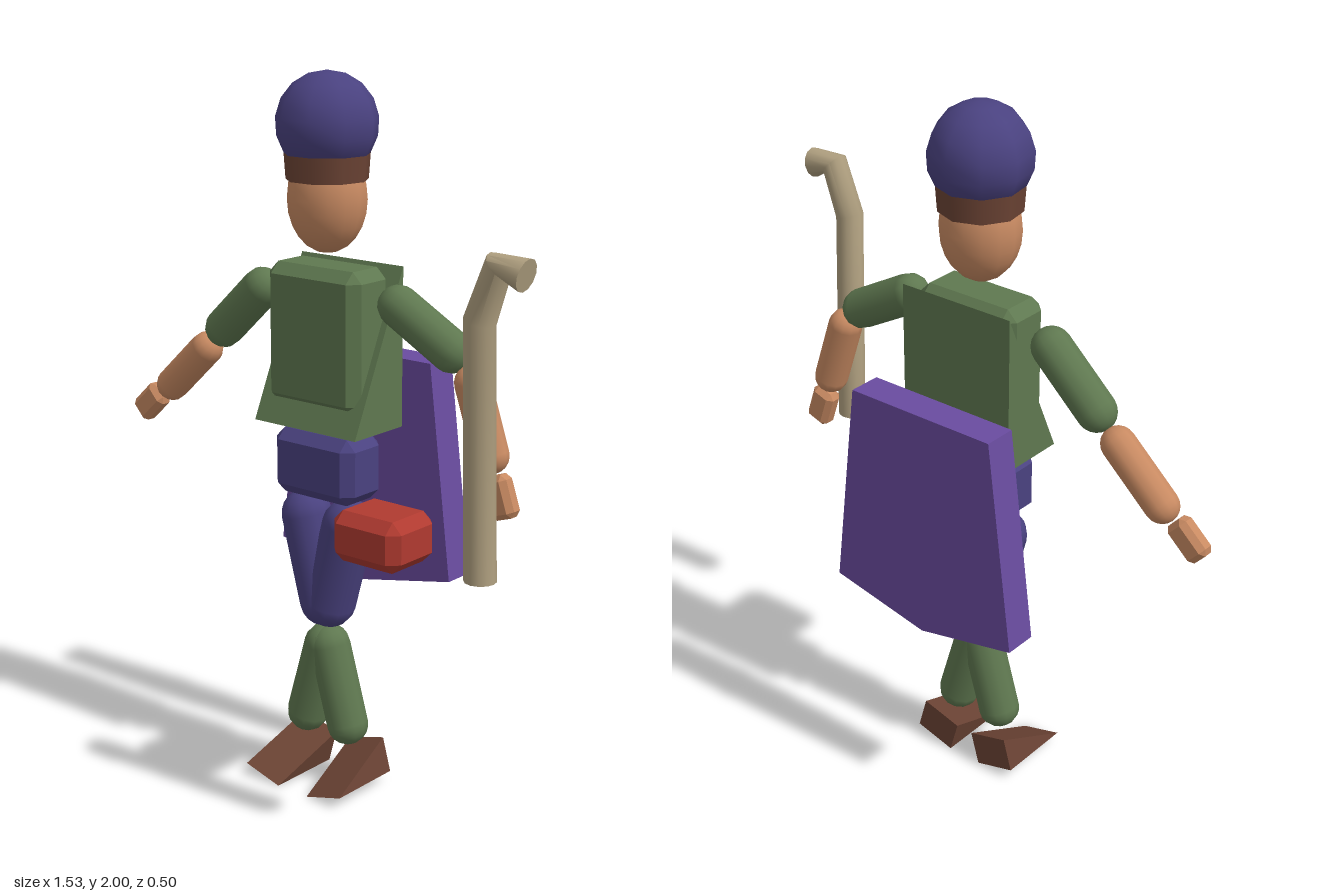
import * as THREE from 'three';
import { toCreasedNormals } from 'three/addons/utils/BufferGeometryUtils.js';
import { ConvexGeometry } from 'three/addons/geometries/ConvexGeometry.js';

const MID = -0.03; // x of the body's centre line
const V = (x, y, z = 0) => new THREE.Vector3(x, y, z);
const mat = (color) => new THREE.MeshStandardMaterial({ color });
const navy = mat(0x4a4280), green = mat(0x5f7850), skin = mat(0xc88a62), brown = mat(0x6b4334);
const wood = mat(0xb0a080), red = mat(0xb03a30), purple = mat(0x6a4ca0);

// Box with 45 degree cuts on every edge
function chamferBox(w, h, d, c) {
  const pts = [];
  for (const x of [-1, 1]) for (const y of [-1, 1]) for (const z of [-1, 1]) {
    pts.push(V(x * w / 2, y * (h / 2 - c), z * (d / 2 - c)));
    pts.push(V(x * (w / 2 - c), y * h / 2, z * (d / 2 - c)));
    pts.push(V(x * (w / 2 - c), y * (h / 2 - c), z * d / 2));
  }
  return new ConvexGeometry(pts);
}

// Wedge with an upright back and a top sloping down to the front edge
function wedge(w, h, d) {
  const s = new THREE.Shape([[-d / 2, -h / 2], [d / 2, -h / 2], [d / 2, h / 2]].map(([x, y]) => new THREE.Vector2(x, y)));
  return new THREE.ExtrudeGeometry(s, { depth: w, bevelEnabled: false }).translate(0, 0, -w / 2).rotateY(Math.PI / 2);
}

// Tube through mitred rings, each given by its two opposite points in the xy plane
function mitredTube(rings, radius, z, sides) {
  const pos = [], idx = [];
  for (const [ax, ay, bx, by] of rings) for (let i = 0; i < sides; i++) {
    const a = i / sides * Math.PI * 2, c = Math.cos(a) / 2;
    pos.push((ax + bx) / 2 + (bx - ax) * c, (ay + by) / 2 + (by - ay) * c, z + radius * Math.sin(a));
  }
  for (let r = 0; r < rings.length - 1; r++) for (let i = 0; i < sides; i++) {
    const a = r * sides + i, b = r * sides + (i + 1) % sides;
    idx.push(a, a + sides, b, b, a + sides, b + sides);
  }
  const last = (rings.length - 1) * sides;
  for (let i = 1; i < sides - 1; i++) idx.push(0, i, i + 1, last, last + i + 1, last + i);
  const g = new THREE.BufferGeometry();
  g.setAttribute('position', new THREE.Float32BufferAttribute(pos, 3));
  g.setIndex(idx);
  return toCreasedNormals(g, 0.9);
}

export function createModel() {
  const model = new THREE.Group();
  const add = (name, geometry, material, x = 0, y = 0, z = 0, rotZ = 0) => {
    const m = new THREE.Mesh(geometry, material);
    m.name = name;
    m.position.set(x, y, z);
    m.rotation.z = rotZ;
    model.add(m);
    return m;
  };
  // Rounded limb between two joint centres
  const limb = (name, material, r, ax, ay, bx, by) => {
    const a = V(ax, ay), b = V(bx, by), dir = b.clone().sub(a);
    const m = add(name, new THREE.CapsuleGeometry(r, dir.length(), 5, 12), material, (ax + bx) / 2, (ay + by) / 2);
    m.quaternion.setFromUnitVectors(V(0, 1, 0), dir.normalize());
  };

  // Head, hair and cap
  add('head', new THREE.SphereGeometry(0.113, 14, 12).scale(1, 1.3, 0.92), skin, MID, 1.667);
  add('hair', new THREE.CylinderGeometry(0.118, 0.112, 0.085, 9).rotateY(Math.PI), brown, MID, 1.758);
  const cut = 0.69 * Math.PI, hatR = 0.14;
  add('cap', new THREE.SphereGeometry(hatR, 9, 6, 0, Math.PI * 2, 0, cut).rotateY(-Math.PI / 2), navy, MID, 1.86);
  add('capBase', new THREE.CircleGeometry(hatR * Math.sin(cut), 9).rotateX(Math.PI / 2).rotateY(Math.PI / 2),
    navy, MID, 1.86 + hatR * Math.cos(cut));

  // Torso, tunic wedge and hips
  add('torso', chamferBox(0.32, 0.39, 0.16, 0.03), green, MID, 1.295);
  add('tunic', wedge(0.355, 0.44, 0.2), green, MID + 0.002, 1.27);
  add('hips', chamferBox(0.28, 0.185, 0.16, 0.03), navy, MID, 0.938);

  // Legs and wedge shoes
  for (const [side, s] of [['left', 1], ['right', -1]]) {
    limb(side + 'Thigh', navy, 0.073, MID + s * 0.075, 0.773, MID + s * 0.01, 0.533);
    limb(side + 'Shin', green, 0.06, MID + s * 0.008, 0.402, MID + s * 0.073, 0.18);
    add(side + 'Shoe', wedge(0.125, 0.1, 0.225), brown, MID + s * 0.1, 0.068, 0.0425, s * 0.27);
  }

  // Arms: shoulder, elbow, wrist and hand positions differ on each side
  const arms = {
    right: { upper: [-0.265, 1.397, -0.41, 1.262], fore: [-0.482, 1.192, -0.622, 1.063], hand: [-0.71, 0.997] },
    left: { upper: [0.213, 1.408, 0.388, 1.312], fore: [0.455, 1.241, 0.517, 1.06], hand: [0.553, 0.957] },
  };
  for (const [side, a] of Object.entries(arms)) {
    limb(side + 'UpperArm', green, 0.056, ...a.upper);
    limb(side + 'Forearm', skin, 0.048, ...a.fore);
    const [ax, ay, bx, by] = a.fore;
    add(side + 'Hand', chamferBox(0.075, 0.115, 0.055, 0.015), skin, ...a.hand, 0, Math.atan2(bx - ax, ay - by));
  }

  // Cape
  const cape = new THREE.Shape([[-0.26, 1.222], [-0.335, 0.615], [MID, 0.552], [0.275, 0.615], [0.2, 1.222]]
    .map(([x, y]) => new THREE.Vector2(x, y)));
  add('cape', new THREE.ExtrudeGeometry(cape, { depth: 0.095, bevelEnabled: false }), purple, 0, 0, -0.252);

  // Side pouch and hooked staff
  add('pouch', chamferBox(0.225, 0.14, 0.19, 0.03), red, 0.253, 0.815, 0.108);
  add('staff', mitredTube([
    [0.601, 0.808, 0.685, 0.81], [0.585, 1.47, 0.665, 1.45],
    [0.652, 1.63, 0.702, 1.572], [0.765, 1.628, 0.745, 1.545],
  ], 0.04, 0.213, 12), wood);

  return model;
}
